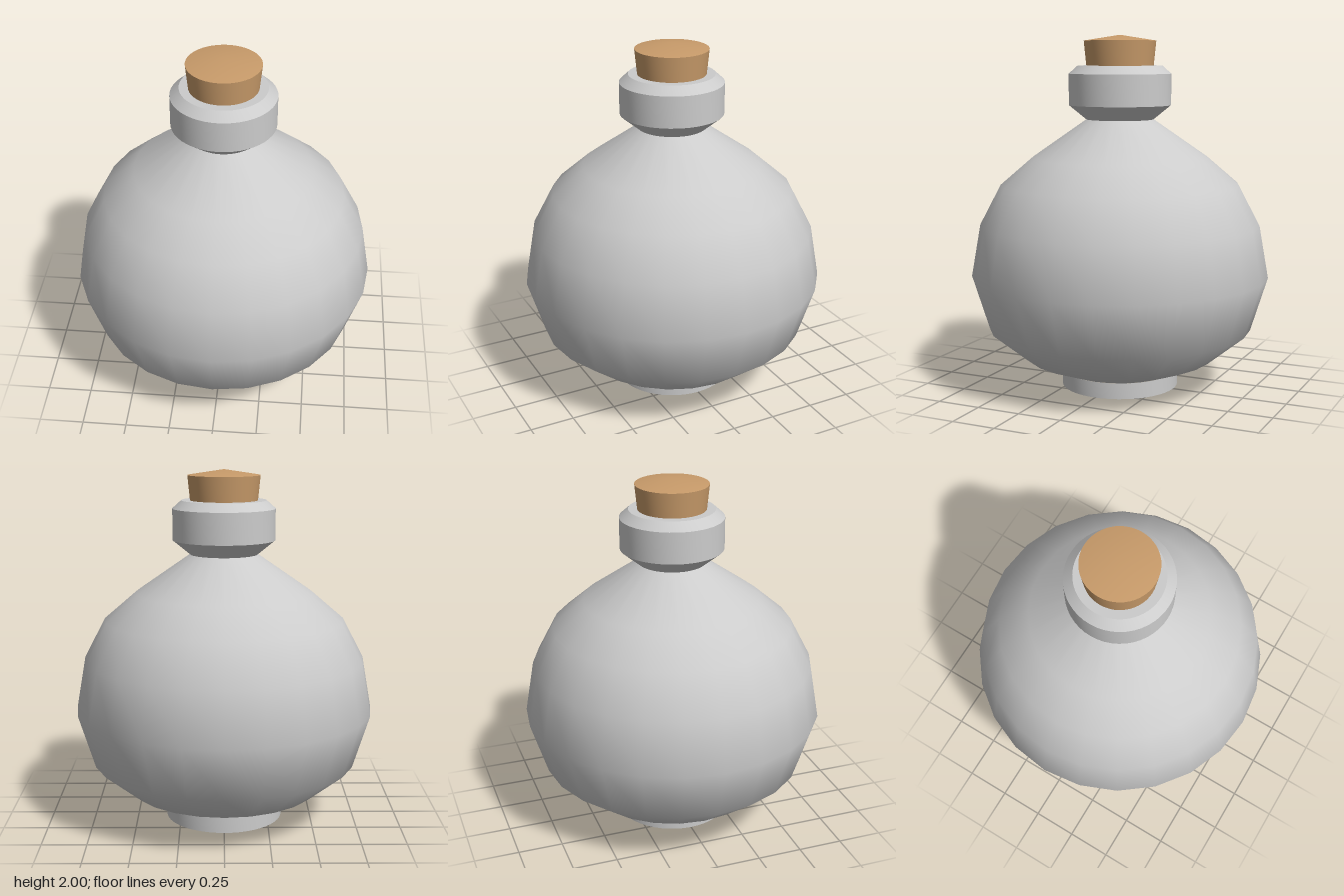
import * as THREE from 'three';
import { toCreasedNormals } from 'three/addons/utils/BufferGeometryUtils.js';

const glass = new THREE.MeshStandardMaterial({ color: 0xcccccc });
const corkMaterial = new THREE.MeshStandardMaterial({ color: 0xc89b6a });

// Turn a bottom-to-top [radius, height] profile around the y axis.
function turned(name, profile, segments, material, crease) {
  const points = profile.map(([r, y]) => new THREE.Vector2(r, y));
  let geometry = new THREE.LatheGeometry(points, segments);
  if (crease) geometry = toCreasedNormals(geometry, crease);
  const mesh = new THREE.Mesh(geometry, material);
  mesh.name = name;
  return mesh;
}

export function createModel() {
  const flask = new THREE.Group();
  flask.name = 'corkedFlask';

  // Short round foot
  flask.add(turned('foot', [[0, 0], [0.333, 0], [0.333, 0.09]], 48, glass, 0.5));

  // Bulbous body, coarse outline with smooth shading
  flask.add(turned('body', [
    [0.33, 0.09], [0.54, 0.17], [0.75, 0.34], [0.845, 0.645],
    [0.793, 0.94], [0.675, 1.165], [0.5, 1.315], [0.19, 1.53],
  ], 24, glass));

  // Bevelled collar with a flat lip running in under the cork
  flask.add(turned('collar', [
    [0.19, 1.53], [0.288, 1.61], [0.288, 1.785], [0.238, 1.83], [0.15, 1.83],
  ], 48, glass, 0.5));

  // Tapered cork: side wall, then a shallow conical top
  flask.add(turned('cork', [[0.186, 1.8], [0.203, 1.968], [0, 2]], 48, corkMaterial, 0.5));

  return flask;
}
